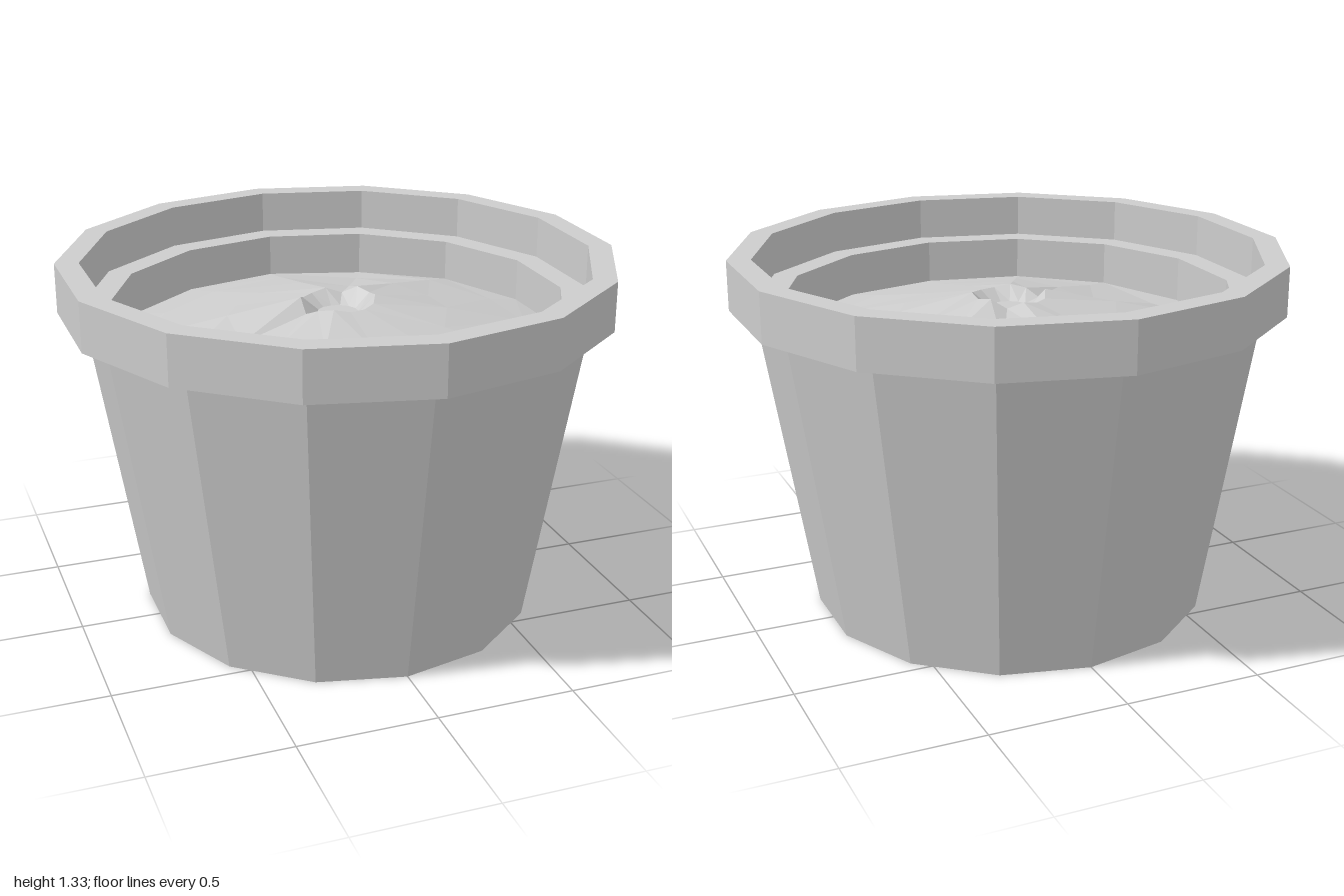
import * as THREE from 'three';

const SIDES = 14;
const clay = new THREE.MeshStandardMaterial({ color: 0xcccccc });
clay.name = 'plain grey';

// Faceted solid of revolution; lift(side, ring) raises single vertices
function facetedLathe(name, profile, lift) {
  const points = profile.map(([r, y]) => new THREE.Vector2(r, y));
  const lathe = new THREE.LatheGeometry(points, SIDES);
  if (lift) {
    const pos = lathe.attributes.position;
    for (let k = 0; k < pos.count; k++) {
      const side = Math.floor(k / points.length) % SIDES;
      pos.setY(k, pos.getY(k) + lift(side, k % points.length));
    }
  }
  const geometry = lathe.toNonIndexed();
  geometry.computeVertexNormals();
  const mesh = new THREE.Mesh(geometry, clay);
  mesh.name = name;
  return mesh;
}

export function createModel() {
  const group = new THREE.Group();
  group.name = 'flowerPot';

  // Tapered body with its closed base
  group.add(facetedLathe('potBody', [[0, 0], [0.725, 0], [0.914, 1.145]]));

  // Thick collar, inner step and the wall down to the soil
  group.add(facetedLathe('potRim', [
    [0.914, 1.145], [1, 1.145], [1, 1.325], [0.914, 1.325],
    [0.914, 1.17], [0.82, 1.17], [0.82, 0.98],
  ]));

  // Uneven mound of soil with a small planting hole in the middle
  const lumps = [0, 0, 0.005, 0.02, 0.01, 0.02, -0.01, 0.01, 0, 0, 0.02, -0.025, 0, 0.01];
  const strength = [0.3, 0.8, 1, 1, 0, 0];
  group.add(facetedLathe('soil', [
    [0.82, 1.01], [0.69, 1.03], [0.4, 1.09], [0.135, 1.15], [0.075, 1.11], [0, 1.11],
  ], (side, ring) => lumps[side] * strength[ring]));

  return group;
}
